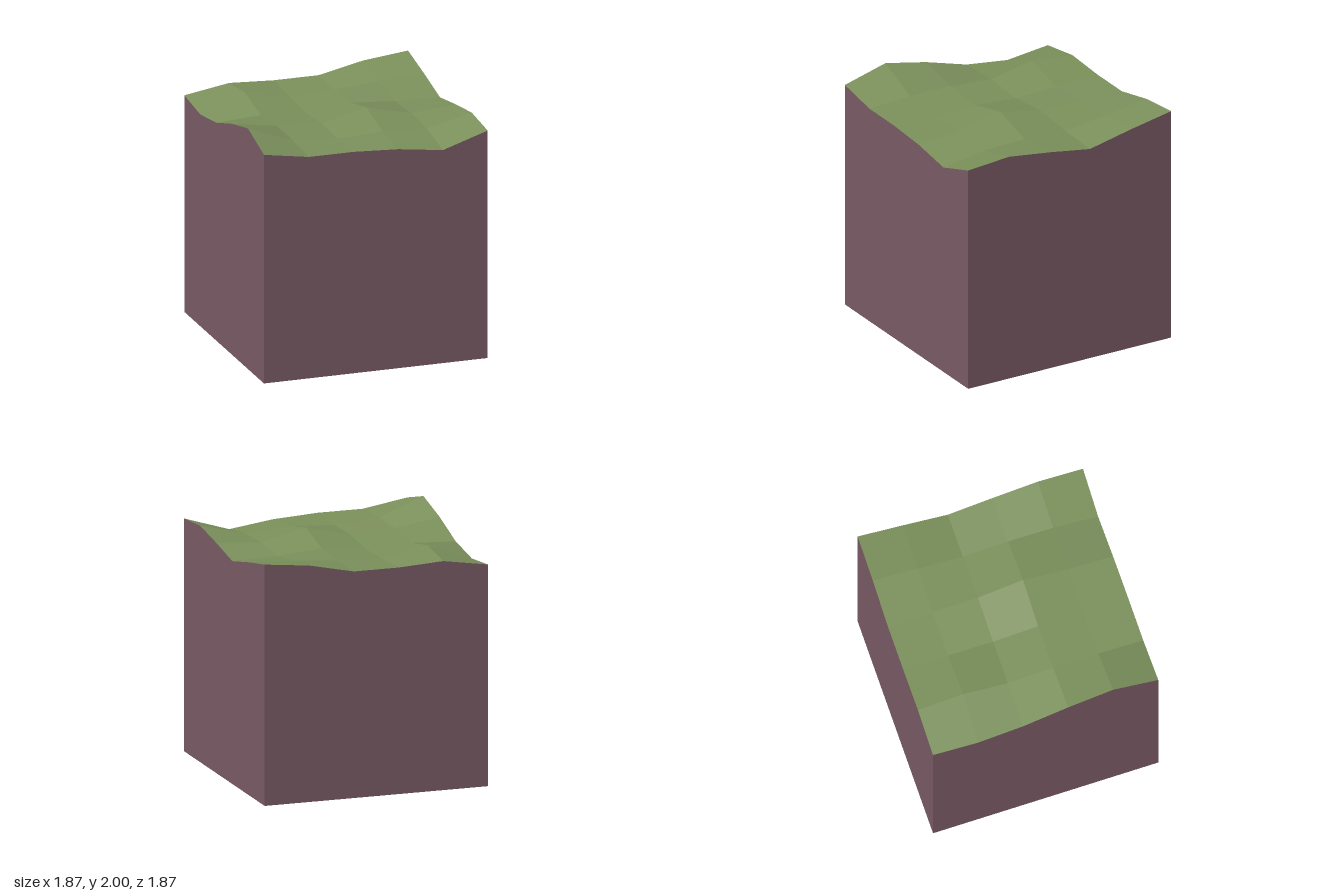
import * as THREE from 'three';

const HALF = 0.935, N = 5;

// Ground heights: rows run from back to front, columns from -x to +x
const HEIGHTS = [
  [1.80, 1.86, 1.84, 1.84, 1.92, 1.96],
  [1.76, 1.90, 1.82, 1.84, 1.87, 1.89],
  [1.81, 1.83, 1.81, 1.85, 1.82, 1.81],
  [1.92, 1.86, 1.84, 1.93, 1.84, 1.87],
  [2.00, 1.86, 1.83, 1.85, 1.83, 1.92],
  [1.90, 1.84, 1.84, 1.82, 1.77, 1.89],
];

const coord = (k) => -HALF + (2 * HALF * k) / N;
const ground = (i, j) => new THREE.Vector3(coord(i), HEIGHTS[j][i], coord(j));
const foot = (i, j) => new THREE.Vector3(coord(i), 0, coord(j));

// Faceted geometry from quads (counter-clockwise), one normal for each quad
function quadGeometry(quads) {
  const positions = [], normals = [];
  for (const [a, b, c, d] of quads) {
    const n = c.clone().sub(a).cross(d.clone().sub(b)).normalize();
    for (const p of [a, b, c, a, c, d]) {
      positions.push(p.x, p.y, p.z);
      normals.push(n.x, n.y, n.z);
    }
  }
  const geometry = new THREE.BufferGeometry();
  geometry.setAttribute('position', new THREE.Float32BufferAttribute(positions, 3));
  geometry.setAttribute('normal', new THREE.Float32BufferAttribute(normals, 3));
  return geometry;
}

export function createModel() {
  const group = new THREE.Group();
  group.name = 'terrainBlock';

  const grass = new THREE.MeshStandardMaterial({ color: 0x7b905b, side: THREE.DoubleSide });
  grass.name = 'grass green';
  const soil = new THREE.MeshStandardMaterial({ color: 0x795a64, side: THREE.DoubleSide });
  soil.name = 'soil brown';

  const add = (name, quads, material) => {
    const mesh = new THREE.Mesh(quadGeometry(quads), material);
    mesh.name = name;
    group.add(mesh);
  };

  // Uneven grassy top
  const cells = [];
  for (let j = 0; j < N; j++) {
    for (let i = 0; i < N; i++) {
      cells.push([ground(i, j), ground(i, j + 1), ground(i + 1, j + 1), ground(i + 1, j)]);
    }
  }
  add('grassTop', cells, grass);

  // Four soil walls following the top's rim, open underneath
  const walls = {
    frontWall: (k) => [k, N],
    rightWall: (k) => [0, k],
    backWall: (k) => [N - k, 0],
    leftWall: (k) => [N, N - k],
  };
  for (const [name, at] of Object.entries(walls)) {
    const strips = [];
    for (let k = 0; k < N; k++) {
      const a = at(k), b = at(k + 1);
      strips.push([foot(...a), foot(...b), ground(...b), ground(...a)]);
    }
    add(name, strips, soil);
  }

  return group;
}
